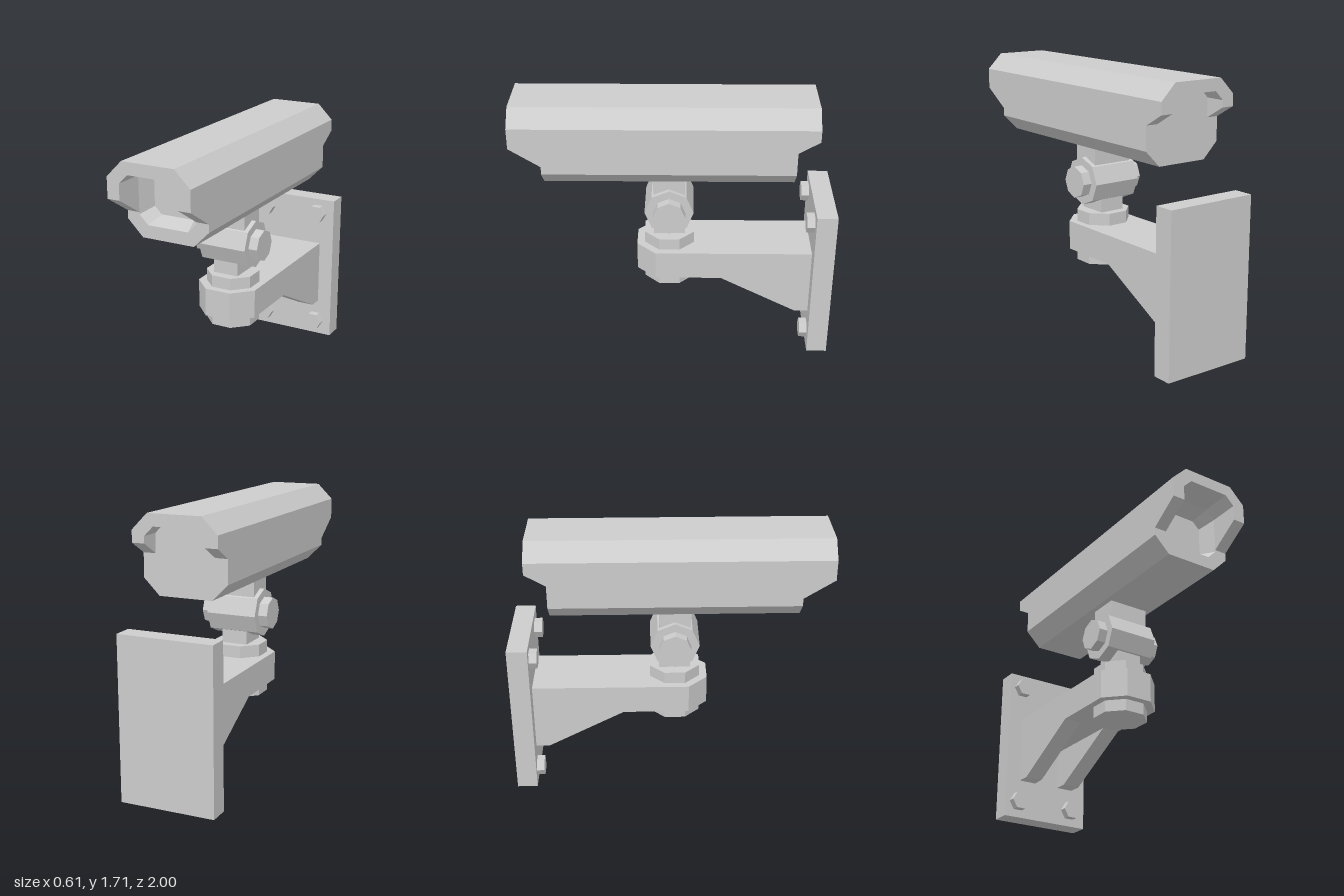
import * as THREE from 'three';

const metal = new THREE.MeshStandardMaterial({ color: 0xcccccc, flatShading: true });
metal.name = 'light grey metal';

function add(parent, name, geometry, x = 0, y = 0, z = 0) {
  const mesh = new THREE.Mesh(geometry, metal);
  mesh.name = name;
  mesh.position.set(x, y, z);
  parent.add(mesh);
  return mesh;
}

const prism = (r, h, sides) => new THREE.CylinderGeometry(r, r, h, sides);

function extrude(points, depth) {
  const shape = new THREE.Shape(points.map(([x, y]) => new THREE.Vector2(x, y)));
  return new THREE.ExtrudeGeometry(shape, { depth, bevelEnabled: false });
}

// Heights where the hood's side profile bends
const BENDS = [1.36, 1.46, 1.48, 1.535];
const CENTRE_Y = 1.4625;

// Chamfered rectangle, counterclockwise from the front, with extra side points at the bends
function octagon(halfWidth, bottom, top, chamfer) {
  const right = [
    [halfWidth - chamfer, bottom], [halfWidth, bottom + chamfer],
    ...BENDS.map((y) => [halfWidth, y]),
    [halfWidth, top - chamfer], [halfWidth - chamfer, top],
  ];
  return [...right, ...right.map(([x, y]) => [-x, y]).reverse()];
}

const ramp = (y, y0, y1, a, b) => a + (b - a) * THREE.MathUtils.clamp((y - y0) / (y1 - y0), 0, 1);
const frontZ = (y) => ramp(y, 1.36, 1.48, 0.81, 1.0);
const backZ = (y) => ramp(y, 1.46, 1.535, -0.73, -0.86);

// Camera housing: one skin running from the rear recess over the outside to the lens recess
function housingGeometry() {
  const outer = octagon(0.27, 1.21, 1.71, 0.1);
  const inner = octagon(0.19, 1.29, 1.635, 0.057);
  const loop = (section, z, sx = 1, sy = sx) => section.map(([x, y]) =>
    new THREE.Vector3(x * sx, CENTRE_Y + (y - CENTRE_Y) * sy, typeof z === 'function' ? z(y) : z));
  const loops = [
    loop(inner, -0.73, 0), loop(inner, -0.73), loop(inner, backZ), loop(outer, backZ),
    loop(outer, frontZ), loop(inner, frontZ), loop(inner, 0.81),
    loop(inner, 0.7, 0.815, 0.785), loop(inner, 0.7, 0),
  ];
  const positions = [];
  const tri = (...p) => {
    if (new THREE.Triangle(...p).getArea() > 1e-7) p.forEach((v) => positions.push(v.x, v.y, v.z));
  };
  for (let k = 0; k < loops.length - 1; k++) {
    const a = loops[k], b = loops[k + 1];
    for (let i = 0; i < a.length; i++) {
      const j = (i + 1) % a.length;
      tri(a[i], a[j], b[j]);
      tri(a[i], b[j], b[i]);
    }
  }
  const geometry = new THREE.BufferGeometry();
  geometry.setAttribute('position', new THREE.Float32BufferAttribute(positions, 3));
  geometry.computeVertexNormals();
  return geometry;
}

export function createModel() {
  const model = new THREE.Group();
  model.name = 'securityCamera';
  const pivotZ = 0.042;

  add(model, 'housing', housingGeometry());

  // Wall plate with four hexagonal bolts
  add(model, 'wallPlate', new THREE.BoxGeometry(0.61, 1.03, 0.13), 0, 0.515, -0.935);
  for (const x of [-0.212, 0.187]) {
    for (const y of [0.107, 0.93]) {
      const bolt = prism(0.063, 0.06, 6).rotateY(Math.PI / 6).rotateX(Math.PI / 2);
      add(model, 'plateBolt', bolt, x, y, -0.85);
    }
  }

  // Bracket arm with a chamfered nose
  const arm = [[-0.205, -0.88], [0.205, -0.88], [0.205, 0.13], [0.087, 0.25], [-0.087, 0.25], [-0.205, 0.13]];
  add(model, 'bracketArm', extrude(arm, 0.187).rotateX(Math.PI / 2), 0, 0.702, 0);

  // Two gussets under the arm
  const gusset = [[-0.88, 0.258], [-0.78, 0.258], [-0.29, 0.515], [-0.29, 0.53], [-0.88, 0.53]];
  for (const x of [0.205, -0.088]) {
    add(model, 'bracketGusset', extrude(gusset, 0.117).rotateY(-Math.PI / 2), x, 0, 0);
  }

  // Swivel nuts above and below the arm
  for (const y of [0.482, 0.738]) {
    add(model, 'swivelNut', prism(0.172, 0.084, 8).rotateY(Math.PI / 8), 0, y, pivotZ);
  }

  // Posts below and above the tilt joint
  add(model, 'lowerPost', new THREE.BoxGeometry(0.17, 0.2, 0.2), 0, 0.86, pivotZ);
  add(model, 'upperPost', new THREE.BoxGeometry(0.27, 0.2, 0.197), 0, 1.13, pivotZ);

  // Tilt joint: drum and through bolt, both eight-sided along x
  add(model, 'tiltDrum', prism(0.155, 0.33, 8).rotateZ(Math.PI / 2), 0, 0.98, pivotZ);
  add(model, 'tiltBolt', prism(0.102, 0.45, 8).rotateZ(Math.PI / 2), 0, 0.98, pivotZ);

  return model;
}
